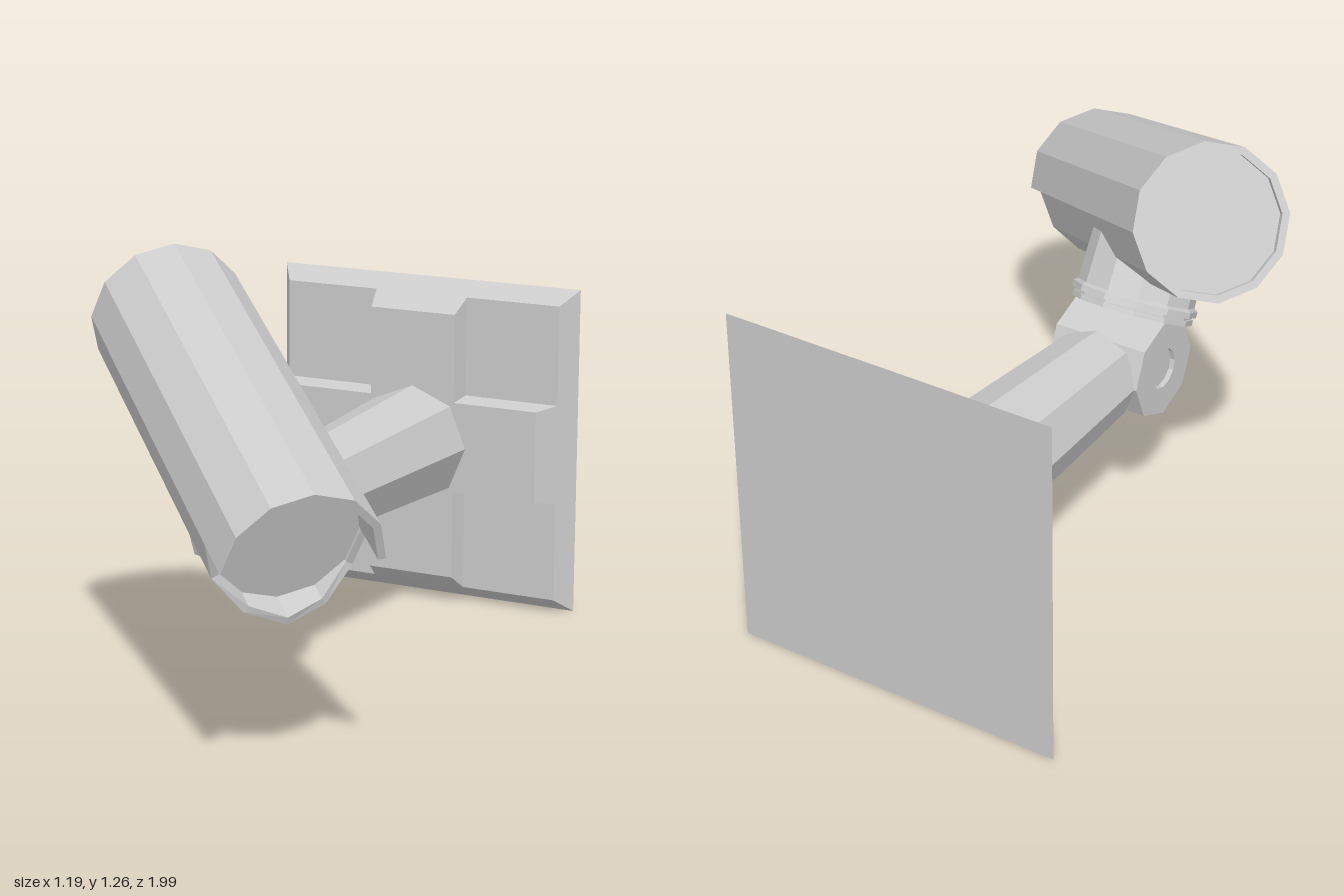
import * as THREE from 'three';

const material = new THREE.MeshStandardMaterial({ color: 0xcccccc, flatShading: true });
const MID_X = -0.095, MID_Y = 0.507;

function part(parent, name, geometry, x = 0, y = 0, z = 0) {
  const mesh = new THREE.Mesh(geometry, material);
  mesh.name = name;
  mesh.position.set(x, y, z);
  parent.add(mesh);
  return mesh;
}

// Block whose front face is narrower than its back face
function bevelBlock(backW, backH, frontW, frontH, depth) {
  const g = new THREE.BoxGeometry(1, 1, depth);
  const p = g.attributes.position;
  for (let i = 0; i < p.count; i++) {
    const front = p.getZ(i) > 0;
    p.setX(i, p.getX(i) * (front ? frontW : backW));
    p.setY(i, p.getY(i) * (front ? frontH : backH));
  }
  g.computeVertexNormals();
  return g;
}

function polygon(PathType, radius, sides) {
  const points = [];
  for (let i = 0; i < sides; i++) {
    const a = (i / sides) * Math.PI * 2;
    points.push(new THREE.Vector2(Math.cos(a) * radius, Math.sin(a) * radius));
  }
  return new PathType(points);
}

// Twelve-sided hollow housing: long visor over the top half, short lip below
function housingGeometry() {
  const R = 0.222, r = 0.2, visor = 1.231;
  const columns = [];
  for (let i = 0; i <= 6; i++) columns.push([i * 30, visor]);
  [1.1, 1.1, 1.15, 1.18, 1.15, 1.1, 1.1].forEach((front, i) => columns.push([180 + i * 30, front]));
  columns.push([360, visor]);

  const positions = [], index = [];
  for (const [degrees, front] of columns) {
    const a = THREE.MathUtils.degToRad(degrees);
    // rear cap, rear rim, outer wall, front rim, inner wall, lens face
    const profile = [[0, 0.02], [r, 0.02], [r, 0], [R, 0], [R, front], [r, front], [r, 1.09], [0, 1.09]];
    for (const [radius, z] of profile) positions.push(Math.cos(a) * radius, Math.sin(a) * radius, z);
  }
  const n = 8;
  for (let k = 0; k < columns.length - 1; k++) {
    for (let i = 0; i < n - 1; i++) {
      const a = k * n + i, b = a + n;
      index.push(a, b, b + 1, a, b + 1, a + 1);
    }
  }
  const g = new THREE.BufferGeometry();
  g.setAttribute('position', new THREE.Float32BufferAttribute(positions, 3));
  g.setIndex(index);
  const flat = g.toNonIndexed();
  flat.computeVertexNormals();
  return flat;
}

export function createModel() {
  const model = new THREE.Group();
  model.name = 'securityCamera';

  // Wall plate with a raised cross
  const plate = new THREE.Group();
  plate.name = 'wallPlate';
  plate.position.set(MID_X, MID_Y, 0);
  model.add(plate);
  part(plate, 'plateBase', bevelBlock(1.01, 1.014, 0.925, 0.925, 0.06), 0, 0, -0.97);
  part(plate, 'verticalRib', bevelBlock(0.31, 0.925, 0.284, 0.835, 0.06), 0, 0, -0.91);
  part(plate, 'horizontalRib', bevelBlock(0.925, 0.31, 0.835, 0.284, 0.06), 0, 0, -0.91);

  // Tapered octagonal arm
  const arm = new THREE.CylinderGeometry(0.138, 0.183, 0.865, 8);
  arm.rotateX(Math.PI / 2);
  part(model, 'arm', arm, MID_X, MID_Y, -0.4475);

  // Pivot block with a recessed pin through it
  const outline = polygon(THREE.Shape, 0.147, 8);
  outline.holes.push(polygon(THREE.Path, 0.06, 12));
  const block = new THREE.ExtrudeGeometry(outline, { depth: 0.295, bevelEnabled: false });
  block.translate(0, 0, -0.1475);
  block.rotateY(Math.PI / 2);
  part(model, 'pivotBlock', block, MID_X, MID_Y, 0.108);
  const pin = new THREE.CylinderGeometry(0.06, 0.06, 0.265, 12);
  pin.rotateZ(Math.PI / 2);
  part(model, 'pivotPin', pin, MID_X, MID_Y, 0.108);

  // Tilted swivel mount with a grooved flange
  const profile = [
    [0, 0], [0.177, 0], [0.177, 0.016], [0.168, 0.016], [0.168, 0.024],
    [0.183, 0.024], [0.183, 0.042], [0.172, 0.05], [0.165, 0.27], [0, 0.27],
  ].map(([x, y]) => new THREE.Vector2(x, y));
  const mount = new THREE.LatheGeometry(profile, 12);
  mount.translate(0, 0.132, 0);
  part(model, 'swivelMount', mount, MID_X, MID_Y, 0.108).rotation.x = 0.49;

  // Camera housing, aimed forward and down to one side
  const housing = part(model, 'cameraHousing', housingGeometry(), -0.422, 1.055, 0.048);
  housing.lookAt(0.43, 0.615, 0.82);

  return model;
}
